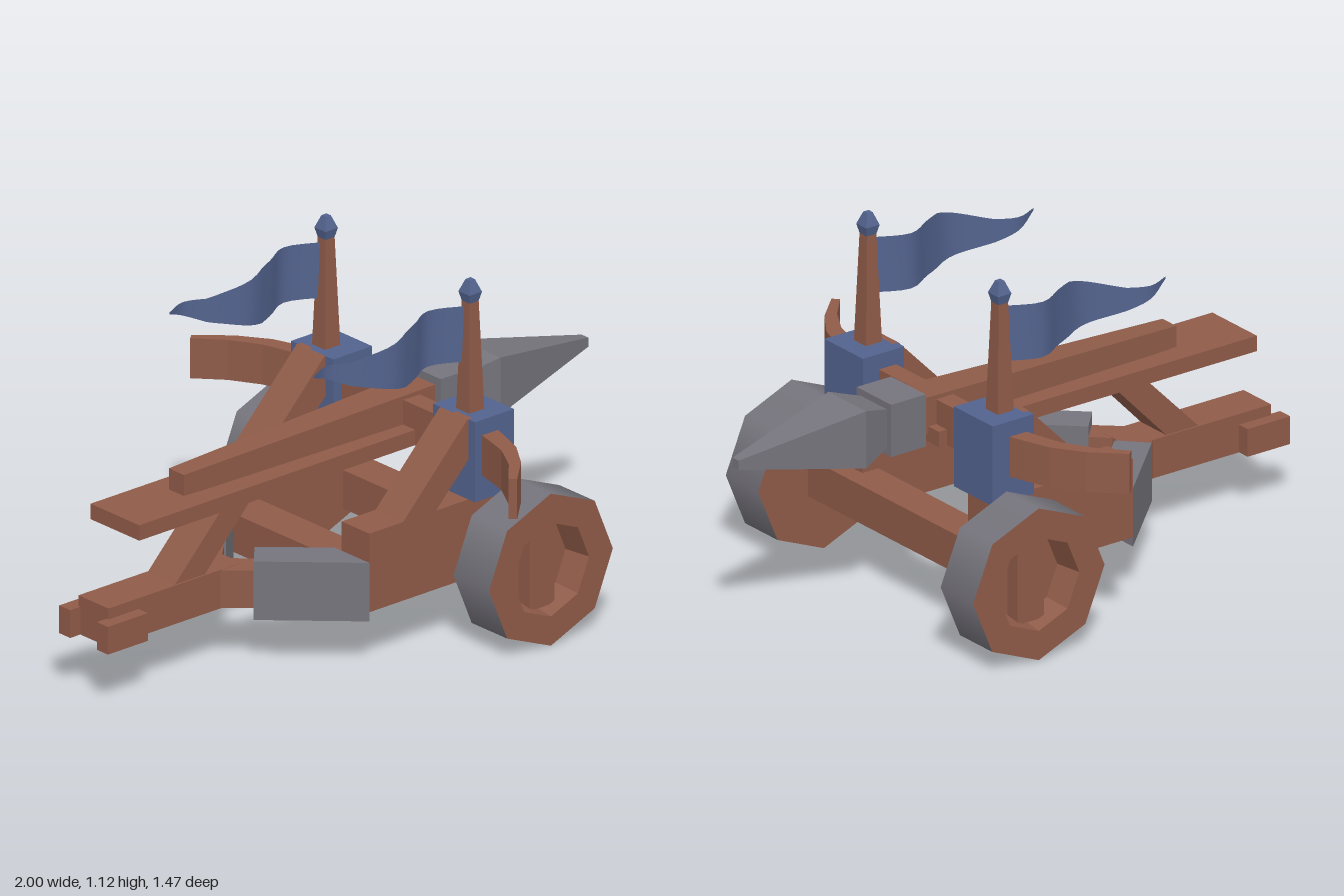
import * as THREE from 'three';

const mat = (name, color, extra = {}) => {
  const m = new THREE.MeshStandardMaterial({ color, ...extra });
  m.name = name;
  return m;
};

export function createModel() {
  const root = new THREE.Group();
  root.name = 'ballista';
  const wood = mat('wood', 0x8f5b48);
  const iron = mat('iron', 0x76747c);
  const blue = mat('blue', 0x53638e, { side: THREE.DoubleSide });

  const add = (name, geo, material, parent = root) => {
    const m = new THREE.Mesh(geo, material);
    m.name = name;
    parent.add(m);
    return m;
  };
  const flat = (geo) => {
    const g = geo.index ? geo.toNonIndexed() : geo;
    g.computeVertexNormals();
    return g;
  };
  // box from its extents
  const box = (name, x0, x1, y0, y1, z0, z1, material, parent) => {
    const g = new THREE.BoxGeometry(x1 - x0, y1 - y0, Math.abs(z1 - z0));
    g.translate((x0 + x1) / 2, (y0 + y1) / 2, (z0 + z1) / 2);
    return add(name, g, material, parent);
  };
  const shapeOf = (pts) => new THREE.Shape(pts.map(([a, b]) => new THREE.Vector2(a, b)));
  // outline in plan (x, z), raised between y0 and y1
  const plan = (name, pts, y0, y1, material) => {
    const g = new THREE.ExtrudeGeometry(shapeOf(pts), { depth: y1 - y0, bevelEnabled: false });
    g.rotateX(Math.PI / 2).translate(0, y1, 0);
    return add(name, g, material);
  };
  // outline in side elevation (x, y), spanning z0 to z1
  const side = (name, pts, z0, z1, material) => {
    const g = new THREE.ExtrudeGeometry(shapeOf(pts), { depth: z1 - z0, bevelEnabled: false });
    g.translate(0, 0, z0);
    return add(name, g, material);
  };
  // square section swept up y: [half width, height]
  const square = (pts) => {
    const prof = [[0, pts[0][1]], ...pts, [0, pts[pts.length - 1][1]]]
      .map(([r, y]) => new THREE.Vector2(r * Math.SQRT2, y));
    return flat(new THREE.LatheGeometry(prof, 4).rotateY(Math.PI / 4));
  };

  // chassis
  box('axleBeam', 0.265, 0.385, 0.185, 0.31, -0.45, 0.45, wood);
  box('crossBeam', -0.2, -0.07, 0.185, 0.31, -0.27, 0.27, wood);
  box('tailBeam', -0.96, -0.43, 0.185, 0.31, -0.068, 0.068, wood);
  side('tailStrut', [[-0.7, 0.3], [-0.58, 0.3], [-0.36, 0.53], [-0.475, 0.53]], -0.062, 0.062, wood);

  // slide and bolt
  box('slide', -0.875, 0.32, 0.52, 0.57, -0.11, 0.11, wood);
  const bolt = new THREE.Group();
  bolt.name = 'bolt';
  bolt.position.y = 0.606;
  bolt.rotation.z = -Math.PI / 2;
  root.add(bolt);
  add('boltShaft', square([[0.034, -0.63], [0.06, 0.36]]), wood, bolt);
  add('boltCollar', square([[0.085, 0.35], [0.085, 0.48]]), iron, bolt);
  add('boltTip', square([[0.062, 0.475], [0.093, 0.58], [0.015, 1.0]]), iron, bolt);

  // bow, curving back at both ends
  const front = [[0.29, 0.4], [0.272, 0.46], [0.24, 0.55], [0.175, 0.645], [0.08, 0.735]];
  const back = [[0.06, 0.718], [0.135, 0.635], [0.19, 0.54], [0.212, 0.46], [0.225, 0.4]];
  const flip = (pts) => pts.map(([x, z]) => [x, -z]).reverse();
  plan('bow', [...front, ...back, ...flip(back), ...flip(front)], 0.52, 0.65, wood);

  // flag: height outline and sideways wave along its length
  const topEdge = [[-0.36, 0.975], [-0.21, 0.977], [-0.02, 1.035], [0.25, 1.035]];
  const lowEdge = [[-0.36, 0.968], [-0.21, 0.9], [-0.02, 0.855], [0.25, 0.855]];
  const heightAt = (edge, x) => {
    let i = 0;
    while (i < edge.length - 2 && x > edge[i + 1][0]) i++;
    const t = (x - edge[i][0]) / (edge[i + 1][0] - edge[i][0]);
    return edge[i][1] + t * (edge[i + 1][1] - edge[i][1]);
  };
  const wave = new THREE.CatmullRomCurve3(
    [[0.25, 0], [0.13, -0.05], [0.03, 0], [-0.08, 0.04], [-0.19, 0], [-0.28, -0.04], [-0.36, -0.01]]
      .map(([x, z]) => new THREE.Vector3(x, 0, z)));
  const flagGeometry = () => {
    const n = 24;
    const g = new THREE.PlaneGeometry(1, 1, n, 1);
    const p = g.attributes.position;
    for (let i = 0; i <= n; i++) {
      const c = wave.getPoint(1 - i / n);
      p.setXYZ(i, c.x, heightAt(topEdge, c.x), c.z);
      p.setXYZ(i + n + 1, c.x, heightAt(lowEdge, c.x), c.z);
    }
    g.computeVertexNormals();
    return g;
  };

  // eight-sided wheel, outer face towards +z
  const R = 0.247, W = 0.16;
  const lathe = (pts) => flat(new THREE.LatheGeometry(pts.map(([r, y]) => new THREE.Vector2(r, y)), 8))
    .rotateX(Math.PI / 2);
  const makeWheel = () => {
    const w = new THREE.Group();
    w.name = 'wheel';
    add('wheelTread', new THREE.CylinderGeometry(R, R, W, 8, 1, true)
      .rotateX(Math.PI / 2).translate(0, 0, W / 2), iron, w);
    add('wheelFace', lathe([[R, W], [0.152, W], [0.138, W - 0.09], [0, W - 0.09]]), wood, w);
    add('wheelBack', lathe([[0, 0], [R, 0]]), wood, w);
    box('wheelSpoke', -0.05, 0.05, -0.134, 0.134, W - 0.095, W - 0.04, wood, w);
    return w;
  };

  for (const s of [1, -1]) {
    const z0 = s > 0 ? 0.26 : -0.385, z1 = z0 + 0.125;
    const mirror = (pts) => pts.map(([x, z]) => [x, z * s]);

    // side rail, diagonal tail beam and iron sleeve
    box('sideRail', -0.2, 0.325, 0.185, 0.44, z0, z1, wood);
    side('postBrace', [[-0.07, 0.435], [0.06, 0.435], [0.21, 0.585], [0.21, 0.7], [0.19, 0.7]], z0, z1, wood);
    plan('diagonalBeam', mirror([[-0.19, 0.36], [-0.19, 0.25], [-0.45, 0], [-0.59, 0]]), 0.186, 0.309, wood);
    plan('ironSleeve', mirror([[-0.2, 0.385], [-0.2, 0.228], [-0.375, 0.065], [-0.452, 0.147]]), 0.155, 0.345, iron);
    box('tailProng', -1, -0.84, 0.185, 0.275, s * 0.06, s * 0.11, wood);

    // post, pole, finial and flag
    box('post', 0.195, 0.35, 0.44, 0.7, s * 0.225, s * 0.415, blue);
    add('pole', square([[0.03, 0.7], [0.018, 1.05]]), wood).position.set(0.255, 0, s * 0.325);
    add('finial', square([[0.018, 1.05], [0.025, 1.08], [0.01, 1.12]]), blue).position.set(0.255, 0, s * 0.325);
    add('flag', flagGeometry(), blue).position.z = s * 0.325;

    const wheel = makeWheel();
    wheel.position.set(0.325, R, s * 0.45);
    if (s < 0) wheel.rotation.y = Math.PI;
    root.add(wheel);
  }
  return root;
}
